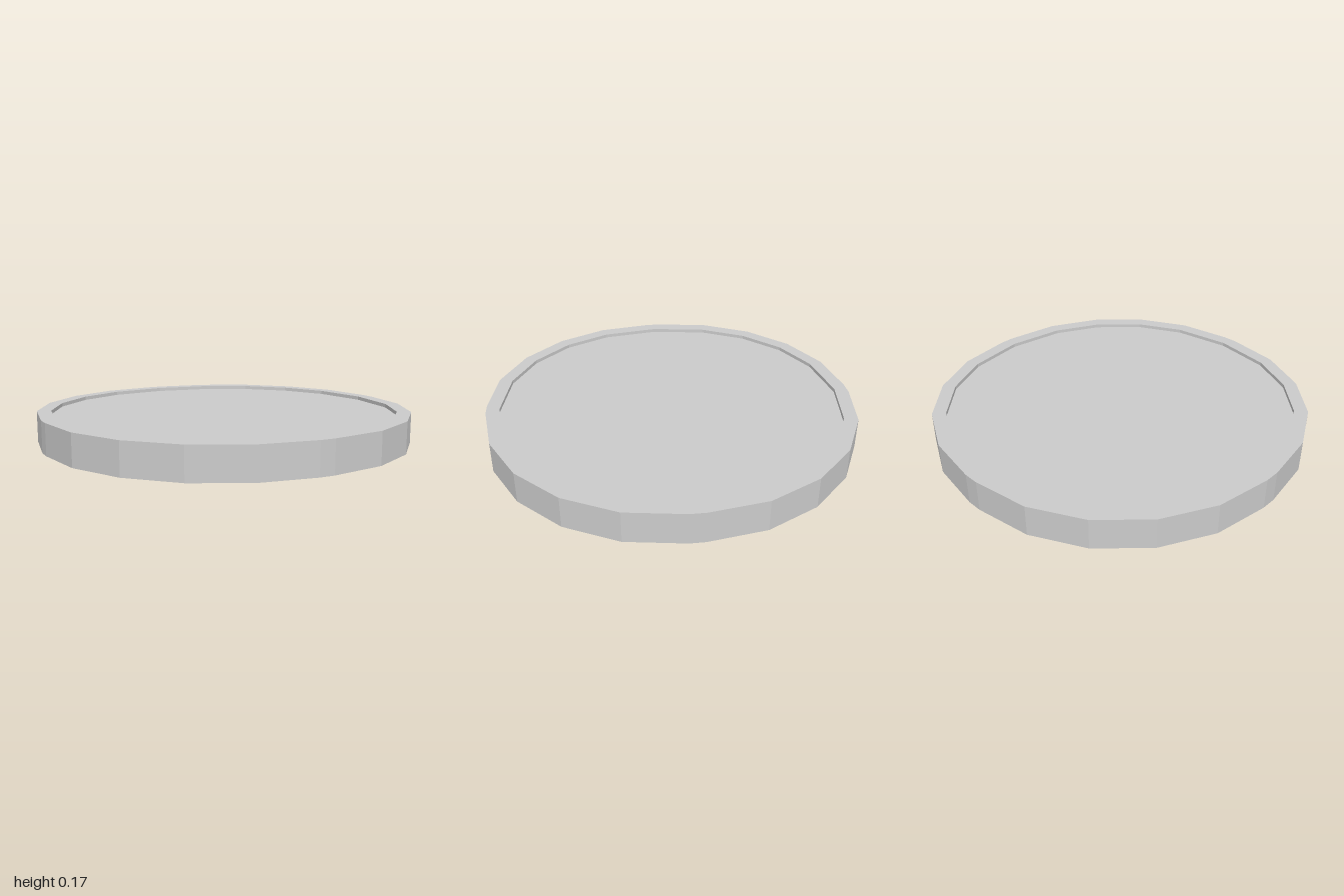
import * as THREE from 'three';

const HEIGHT = 0.167, RECESS = 0.02;

// Repeats the points of one quarter around all four sides
function ring(quarter) {
  const points = [];
  for (let k = 0; k < 4; k++) {
    for (const [x, y] of quarter) {
      points.push(new THREE.Vector2(x, y).rotateAround(new THREE.Vector2(), k * Math.PI / 2));
    }
  }
  return points;
}

// Extrudes a flat outline upwards between two heights
function slab(shape, bottom, top) {
  const geometry = new THREE.ExtrudeGeometry(shape, { depth: top - bottom, bevelEnabled: false });
  return geometry.rotateX(-Math.PI / 2).translate(0, bottom, 0);
}

export function createModel() {
  const group = new THREE.Group();
  group.name = 'disc';
  const material = new THREE.MeshStandardMaterial({ color: 0xcccccc, flatShading: true });

  // Outer outline: a square with five-segment corners that nearly fill it
  const offset = 0.04, radius = 0.96;
  const corner = [];
  for (let i = 0; i <= 5; i++) {
    const a = i * Math.PI / 10;
    corner.push([offset + radius * Math.cos(a), offset + radius * Math.sin(a)]);
  }
  const outer = ring(corner);

  // Inner outline: twenty sides with a point on each axis
  const inner = ring([[0.93, 0], [0.881, 0.316], [0.756, 0.561], [0.561, 0.756], [0.316, 0.881]]);

  // Rim
  const rimShape = new THREE.Shape(outer);
  rimShape.holes.push(new THREE.Path(inner));
  const rim = new THREE.Mesh(slab(rimShape, 0, HEIGHT), material);
  rim.name = 'rim';

  // Plate, sunk a little below the rim on both faces
  const plate = new THREE.Mesh(slab(new THREE.Shape(inner), RECESS, HEIGHT - RECESS), material);
  plate.name = 'plate';

  group.add(rim, plate);
  return group;
}
